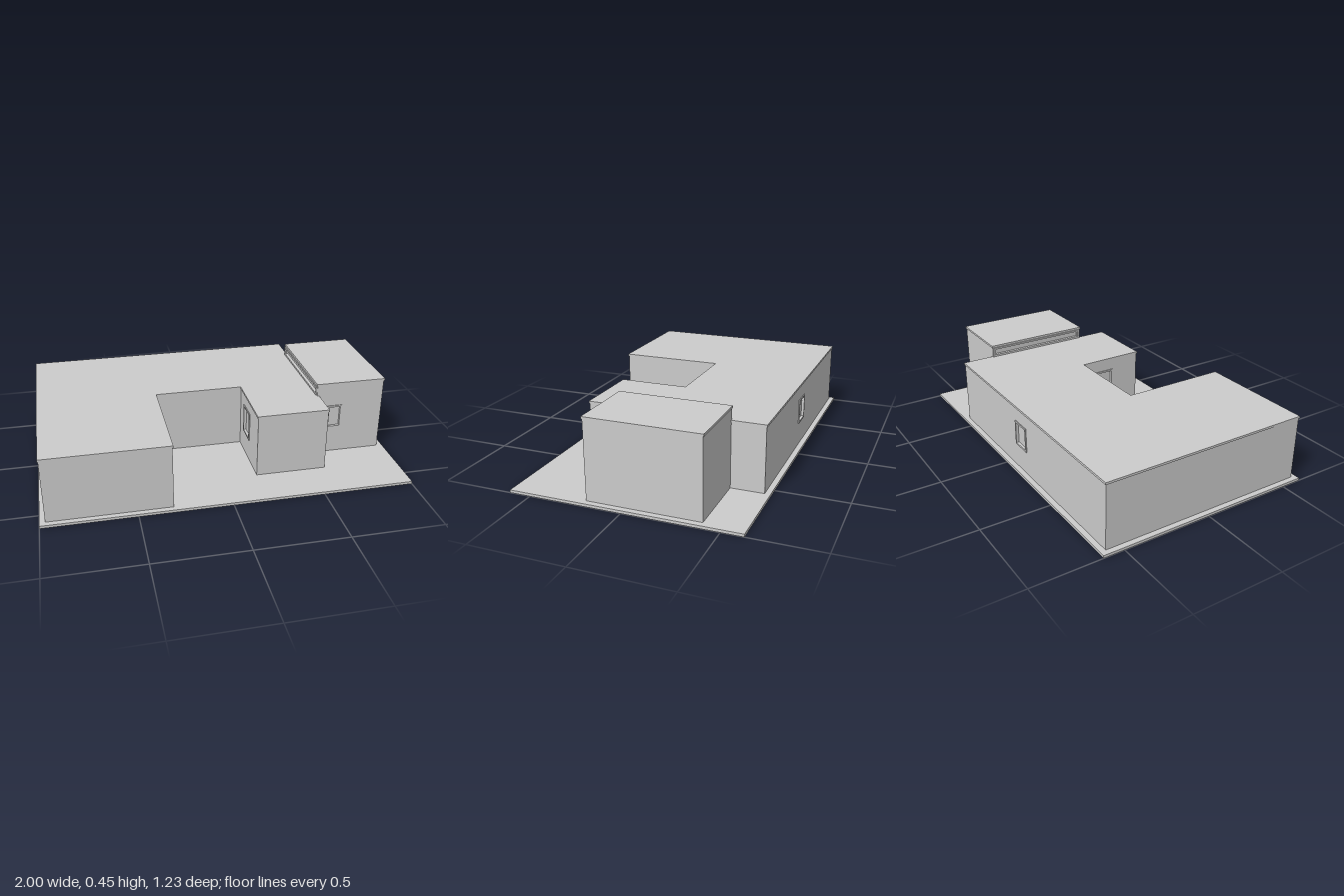
import * as THREE from 'three';

const GROUND = 0.015, T = 0.02, ROOF = 0.012, EAVE = 0.004;
const grey = new THREE.MeshStandardMaterial({ color: 0xcccccc });
grey.name = 'light grey';

function part(geometry, name, parent) {
  const mesh = new THREE.Mesh(geometry, grey);
  mesh.name = name;
  parent.add(mesh);
  return mesh;
}

// Rectangle from corner to corner, as a shape or a hole
function rect(x0, y0, x1, y1, Type = THREE.Shape) {
  const r = new Type();
  r.moveTo(x0, y0);
  r.lineTo(x1, y0);
  r.lineTo(x1, y1);
  r.lineTo(x0, y1);
  r.closePath();
  return r;
}

function extrude(shape, depth, z0) {
  return new THREE.ExtrudeGeometry(shape, { depth, bevelEnabled: false }).translate(0, 0, z0);
}

// Wall from p to q, its outer face on the line, with an optional framed window
function addWall(p, q, height, win, parent) {
  const dx = q[0] - p[0], dz = q[1] - p[1];
  const wall = new THREE.Group();
  wall.name = 'wall';
  wall.position.set(p[0], 0, p[1]);
  wall.rotation.y = Math.atan2(-dz, dx);
  parent.add(wall);
  const panel = rect(0, GROUND, Math.hypot(dx, dz), height);
  if (win) {
    const { s0, s1, y0, y1, out = 0.005, rim = 0.01 } = win;
    panel.holes.push(rect(s0, y0, s1, y1, THREE.Path));
    const frame = rect(s0, y0, s1, y1);
    frame.holes.push(rect(s0 + rim, y0 + rim, s1 - rim, y1 - rim, THREE.Path));
    part(extrude(frame, T + out, -T), 'windowFrame', wall);
    part(extrude(rect(s0 + rim, y0 + rim, s1 - rim, y1 - rim), 0.004, -0.014), 'windowPane', wall);
  }
  part(extrude(panel, T, -T), 'wallPanel', wall);
}

// Walls round a plan of [x, z] points, capped by a flat roof with a small overhang
function addBlock(name, plan, top, windows, parent) {
  const block = new THREE.Group();
  block.name = name;
  parent.add(block);
  const n = plan.length;
  const normal = (i) => {
    const p = plan[i], q = plan[(i + 1) % n];
    const dx = q[0] - p[0], dz = q[1] - p[1], l = Math.hypot(dx, dz);
    return [-dz / l, dx / l];
  };
  plan.forEach((p, i) => addWall(p, plan[(i + 1) % n], top - ROOF, windows[i], block));
  const eaves = plan.map((p, i) => {
    const a = normal((i + n - 1) % n), b = normal(i);
    return new THREE.Vector2(p[0] + EAVE * (a[0] + b[0]), -(p[1] + EAVE * (a[1] + b[1])));
  });
  const roof = extrude(new THREE.Shape(eaves), ROOF, 0);
  roof.rotateX(-Math.PI / 2).translate(0, top - ROOF, 0);
  part(roof, 'flatRoof', block);
}

export function createModel() {
  const model = new THREE.Group();
  model.name = 'house';

  // Ground slab
  part(new THREE.BoxGeometry(2, GROUND, 1.23).translate(0, GROUND / 2, 0), 'groundSlab', model);

  // Low wing wrapped round the front courtyard
  addBlock('lowWing', [
    [-0.97, 0.585], [-0.314, 0.585], [-0.314, -0.007], [0.185, -0.007],
    [0.185, 0.375], [0.58, 0.375], [0.58, -0.585], [-0.97, -0.585],
  ], 0.38, {
    3: { s0: 0.085, s1: 0.21, y0: 0.14, y1: 0.305 },
    6: { s0: 0.66, s1: 0.78, y0: 0.15, y1: 0.29 },
  }, model);

  // Taller block with a long strip window above the low roof
  addBlock('tallBlock', [
    [0.573, 0.201], [0.967, 0.201], [0.967, -0.405], [0.573, -0.405],
  ], 0.452, {
    0: { s0: 0.067, s1: 0.153, y0: 0.17, y1: 0.31 },
    3: { s0: 0.003, s1: 0.603, y0: 0.385, y1: 0.438, out: 0.008 },
  }, model);

  return model;
}
